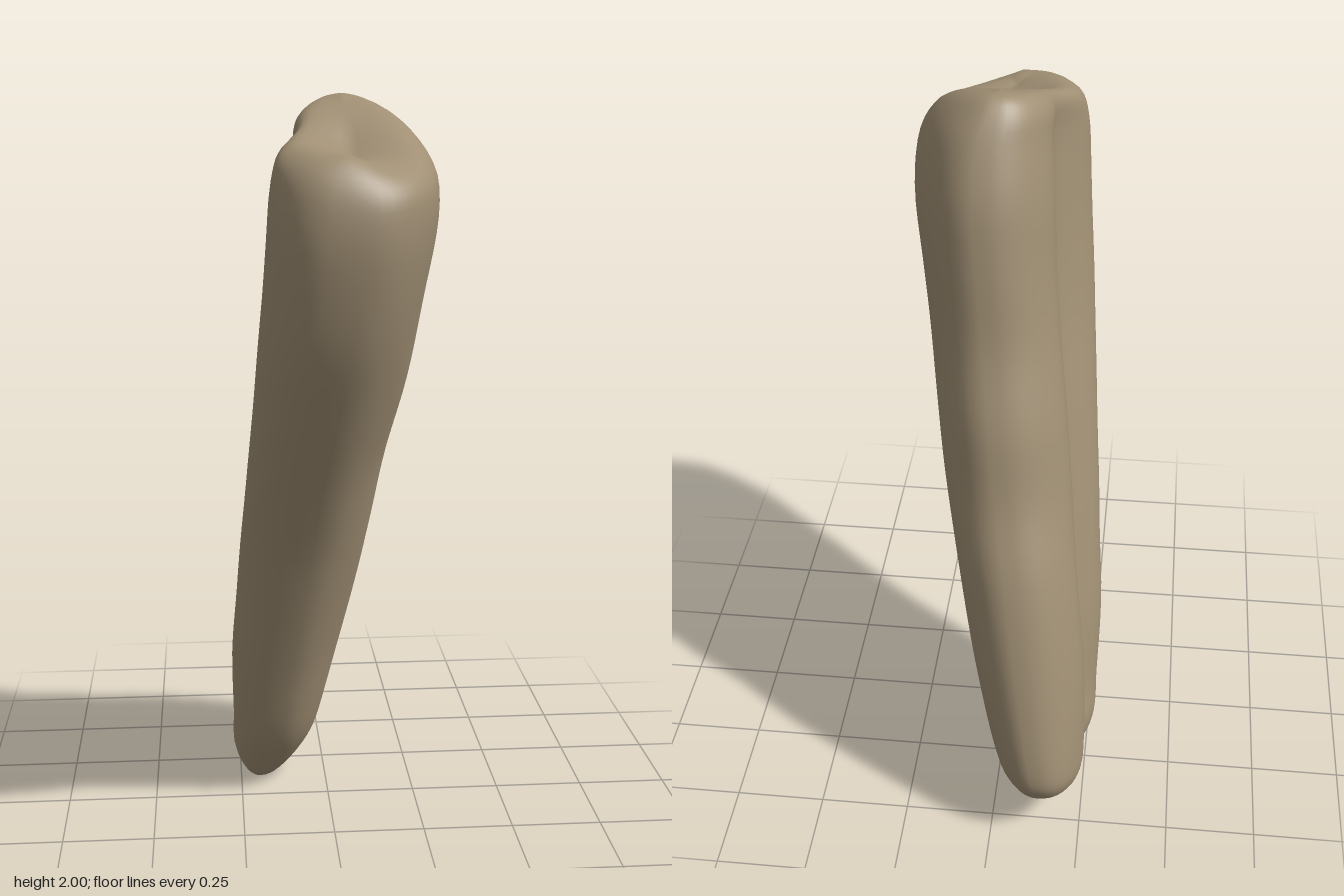
import * as THREE from 'three';
import { mergeVertices } from 'three/addons/utils/BufferGeometryUtils.js';

// Cross-sections from root tips to crown:
// front edge z, y | back edge z, y | centre x front, back | half width front, back | groove depth -x, +x
const SECTIONS = [
  [-0.13, 0.00, -0.47, 0.095, -0.195, -0.13, 0.00, 0.00, 0.00, 0.00],
  [-0.10, 0.015, -0.53, 0.12, -0.19, -0.13, 0.075, 0.08, 0.035, 0.035],
  [-0.04, 0.09, -0.57, 0.17, -0.175, -0.125, 0.12, 0.12, 0.06, 0.065],
  [0.03, 0.20, -0.58, 0.26, -0.16, -0.11, 0.14, 0.14, 0.07, 0.07],
  [0.10, 0.40, -0.52, 0.52, -0.145, -0.07, 0.165, 0.165, 0.075, 0.065],
  [0.17, 0.60, -0.435, 0.80, -0.12, -0.027, 0.175, 0.18, 0.08, 0.05],
  [0.245, 0.80, -0.35, 1.00, -0.10, 0.005, 0.185, 0.187, 0.08, 0.03],
  [0.34, 1.00, -0.295, 1.20, -0.08, 0.028, 0.19, 0.19, 0.08, 0.01],
  [0.44, 1.20, -0.22, 1.40, -0.05, 0.05, 0.20, 0.192, 0.08, 0],
  [0.53, 1.40, -0.18, 1.60, -0.025, 0.07, 0.212, 0.192, 0.078, 0],
  [0.575, 1.60, -0.145, 1.76, 0.00, 0.08, 0.225, 0.19, 0.072, 0],
  [0.575, 1.73, -0.09, 1.89, 0.01, 0.077, 0.22, 0.175, 0.06, 0],
  [0.545, 1.815, -0.045, 1.96, 0.01, 0.055, 0.19, 0.145, 0.04, 0],
  [0.49, 1.865, 0.00, 1.995, 0.015, 0.04, 0.12, 0.09, 0.015, 0],
  [0.42, 1.85, 0.06, 1.99, 0.03, 0.03, 0.00, 0.00, 0.00, 0],
];

const spline = (a, b, c, d, t) =>
  0.5 * (2 * b + (c - a) * t + (2 * a - 5 * b + 4 * c - d) * t * t + (3 * b - a - 3 * c + d) * t * t * t);

// Smoothly interpolated section at fractional index s
function sectionAt(s) {
  const last = SECTIONS.length - 1;
  const i = Math.min(Math.floor(s), last - 1);
  const at = (k) => SECTIONS[Math.max(0, Math.min(last, k))];
  return SECTIONS[0].map((_, k) => spline(at(i - 1)[k], at(i)[k], at(i + 1)[k], at(i + 2)[k], s - i));
}

const bell = (v, centre, width) => Math.exp(-(((v - centre) / width) ** 2));
const ramp = (v, from, to) => Math.max(0, Math.min(1, (v - from) / (to - from)));

function createBody() {
  const around = 56, stepsPer = 4;
  const rings = (SECTIONS.length - 1) * stepsPer;
  const pos = [], index = [];
  for (let i = 0; i <= rings; i++) {
    const s = i / stepsPer;
    const [zf, yf, zb, yb, xf, xb, wf, wb, gl, gr] = sectionAt(s);
    const notch = 0.065 * (1 - ramp(s, 0, 3));
    const crown = ramp(s, 11, 13);
    const dent = 0.04 * ramp(s, 12, 14);
    // The -x groove drifts backwards as it climbs
    const leftGroove = 0.52 - 0.08 * ramp(s, 3, 9);
    for (let j = 0; j < around; j++) {
      const a = (j / around) * Math.PI * 2;
      const side = Math.sin(a);
      const u = 0.5 + 0.5 * Math.cos(a);
      const lerp = (back, front) => back + (front - back) * u;
      // Two-lobed outline: an oval pinched by a groove on each side, rounder at the back on +x
      const groove = side < 0 ? gl * bell(u, leftGroove, 0.17) : gr * bell(u, 0.49, 0.13);
      const power = side > 0 ? 0.75 + 0.3 * (1 - u) : 0.75;
      const w = Math.max(0, 1.06 * lerp(wb, wf) * Math.abs(side) ** power - groove);
      const bump = 1 + 0.01 * Math.sin(s * 2.1 + 3 * a);
      const x = Math.sign(side) * w * bump;
      // Notch between root tips, and a shallow dent on the crown, which falls towards +x
      const y = lerp(yb, yf) + notch * bell(u, 0.48, 0.18)
        - dent * bell(u, 0.65, 0.25) - crown * Math.max(0, x) * 0.42 * u * u;
      pos.push(lerp(xb, xf) + x, y, lerp(zb, zf));
    }
  }
  for (let i = 0; i < rings; i++) {
    for (let j = 0; j < around; j++) {
      const k = (j + 1) % around;
      const p = i * around + j, q = i * around + k;
      index.push(p, q, p + around, q, q + around, p + around);
    }
  }
  const geo = new THREE.BufferGeometry();
  geo.setAttribute('position', new THREE.Float32BufferAttribute(pos, 3));
  geo.setIndex(index);
  const welded = mergeVertices(geo, 1e-4);
  welded.computeVertexNormals();
  return welded;
}

export function createModel() {
  const group = new THREE.Group();
  group.name = 'tooth';
  const material = new THREE.MeshStandardMaterial({ color: 0xa08f74 });
  material.name = 'tan bone';
  const body = new THREE.Mesh(createBody(), material);
  body.name = 'crownAndRoots';
  group.add(body);
  return group;
}
